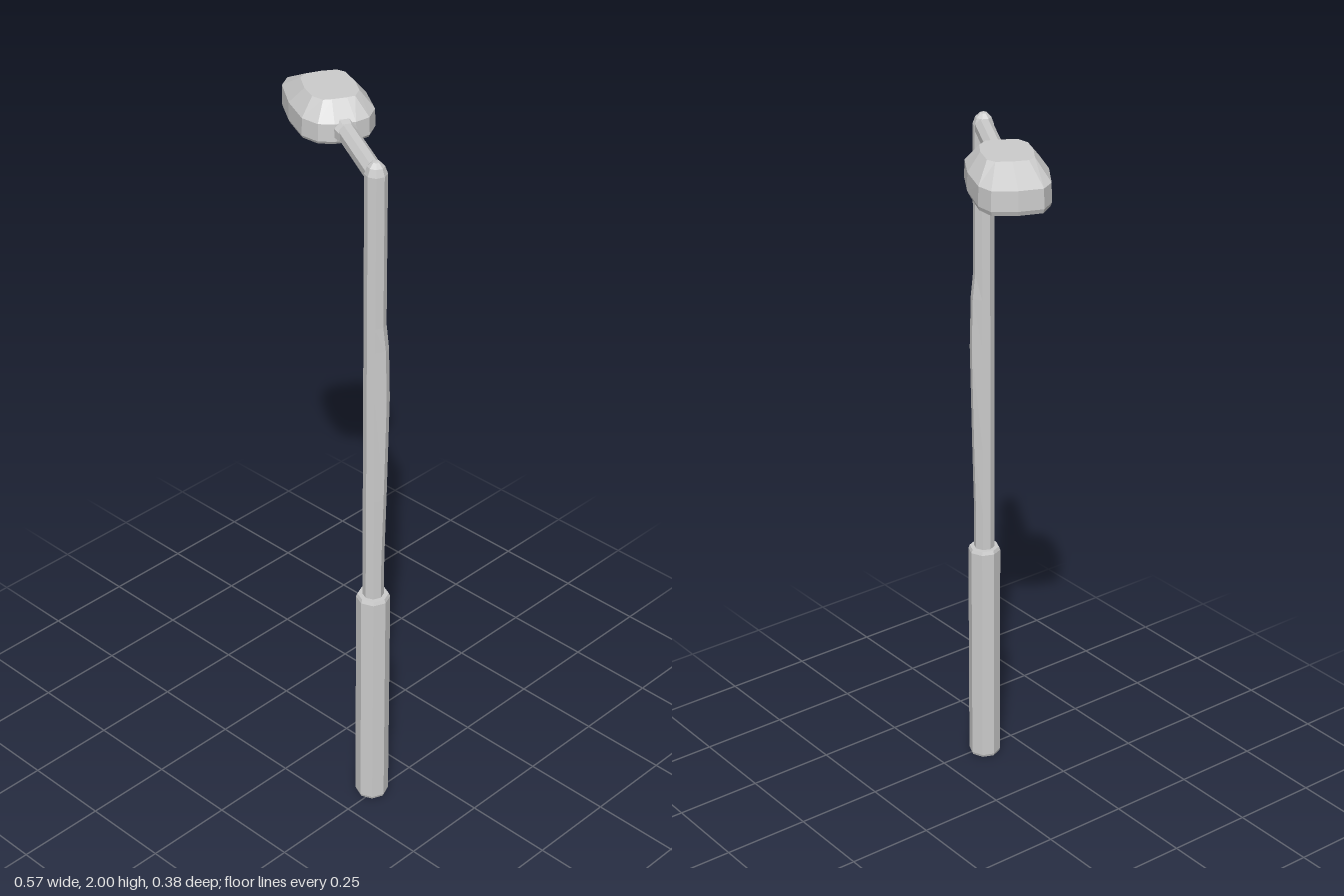
import * as THREE from 'three';

const grey = new THREE.MeshStandardMaterial({ color: 0xcccccc, flatShading: true });
const SIDES = 8;

function addMesh(parent, name, geometry) {
  const mesh = new THREE.Mesh(geometry, grey);
  mesh.name = name;
  parent.add(mesh);
  return mesh;
}

const lathe = (profile) =>
  new THREE.LatheGeometry(profile.map(([r, y]) => new THREE.Vector2(r, y)), SIDES);

// Skin a stack of equal-length closed rings, capped at both ends
function loft(rings) {
  const pos = [];
  const tri = (...corners) => corners.forEach((c) => pos.push(...c));
  const n = rings[0].length;
  for (let k = 0; k < rings.length - 1; k++) {
    const lo = rings[k], hi = rings[k + 1];
    for (let i = 0; i < n; i++) {
      const j = (i + 1) % n;
      tri(lo[i], lo[j], hi[j]);
      tri(lo[i], hi[j], hi[i]);
    }
  }
  const first = rings[0], last = rings[rings.length - 1];
  for (let i = 1; i < n - 1; i++) {
    tri(first[0], first[i + 1], first[i]);
    tri(last[0], last[i], last[i + 1]);
  }
  const g = new THREE.BufferGeometry();
  g.setAttribute('position', new THREE.Float32BufferAttribute(pos, 3));
  g.computeVertexNormals();
  return g;
}

// Half outlines of the lamp head, from the neck to the tip: [along, across]
const OUTLINE = [[0.255, 0.028], [0.27, 0.068], [0.315, 0.097], [0.414, 0.104],
  [0.52, 0.092], [0.561, 0.066], [0.57, 0]];
const PLATEAU = [[0.308, 0.02], [0.311, 0.042], [0.34, 0.062], [0.392, 0.067],
  [0.455, 0.06], [0.474, 0.042], [0.478, 0]];

// Mirror a half outline into a ring at height y, scaled about the head centre;
// droop lowers the far end
function headRing(half, y, scale = 1, droop = 0) {
  const mirrored = half.slice(0, -1).reverse().map(([u, v]) => [u, -v]);
  return [...half, ...mirrored].map(([u, v]) => [
    0.415 + (u - 0.415) * scale,
    y - droop * THREE.MathUtils.smoothstep(u, 0.42, 0.57),
    v * scale,
  ]);
}

export function createModel() {
  const lamp = new THREE.Group();
  lamp.name = 'streetLamp';
  const post = new THREE.Group();
  post.name = 'post';
  post.position.set(0.237, 0, 0.141);
  lamp.add(post);

  // Thick lower sleeve with a small chamfer
  addMesh(post, 'base', lathe([[0, 0], [0.043, 0], [0.046, 0.008], [0.046, 0.675],
    [0.042, 0.685], [0, 0.685]]));

  // Slim pole, slightly swollen on one side along its middle
  const swell = { 1.0: 0.004, 1.3: 0.009, 1.45: 0.006 };
  const pole = lathe([[0.029, 0.68], [0.029, 0.8], [0.029, 1.0], [0.029, 1.3], [0.029, 1.45],
    [0.029, 1.52], [0.029, 1.94], [0.022, 1.96], [0.01, 1.972], [0, 1.973]]);
  const p = pole.attributes.position;
  for (let i = 0; i < p.count; i++) {
    const x = p.getX(i), z = p.getZ(i);
    const push = swell[+p.getY(i).toFixed(2)];
    if (push && x - z > 0.02) p.setXYZ(i, x + push * 0.8, p.getY(i), z - push * 0.8);
  }
  addMesh(post, 'pole', pole);

  // Arm and head share a frame whose +x runs outward from the pole
  const arm = new THREE.Group();
  arm.name = 'armAndHead';
  arm.rotation.y = Math.PI - 0.505;
  post.add(arm);

  const bar = new THREE.CylinderGeometry(0.026, 0.026, 0.25, SIDES);
  bar.rotateY(Math.PI / SIDES).rotateZ(-Math.PI / 2).translate(0.125, 1.935, 0);
  addMesh(arm, 'arm', bar);

  // Flared collar where the arm enters the head
  const collar = new THREE.CylinderGeometry(0.033, 0.026, 0.04, SIDES);
  collar.rotateY(Math.PI / SIDES).rotateZ(-Math.PI / 2).translate(0.245, 1.932, 0);
  addMesh(arm, 'collar', collar);

  // Faceted head: recessed lens, rim, side wall, sloped roof, flat top
  addMesh(arm, 'lampHead', loft([
    headRing(OUTLINE, 1.908, 0.86, 0.008),
    headRing(OUTLINE, 1.9, 0.9, 0.01),
    headRing(OUTLINE, 1.9, 0.97, 0.01),
    headRing(OUTLINE, 1.908, 1, 0.006),
    headRing(OUTLINE, 1.955, 0.99),
    headRing(PLATEAU, 2.0),
  ]));

  return lamp;
}
